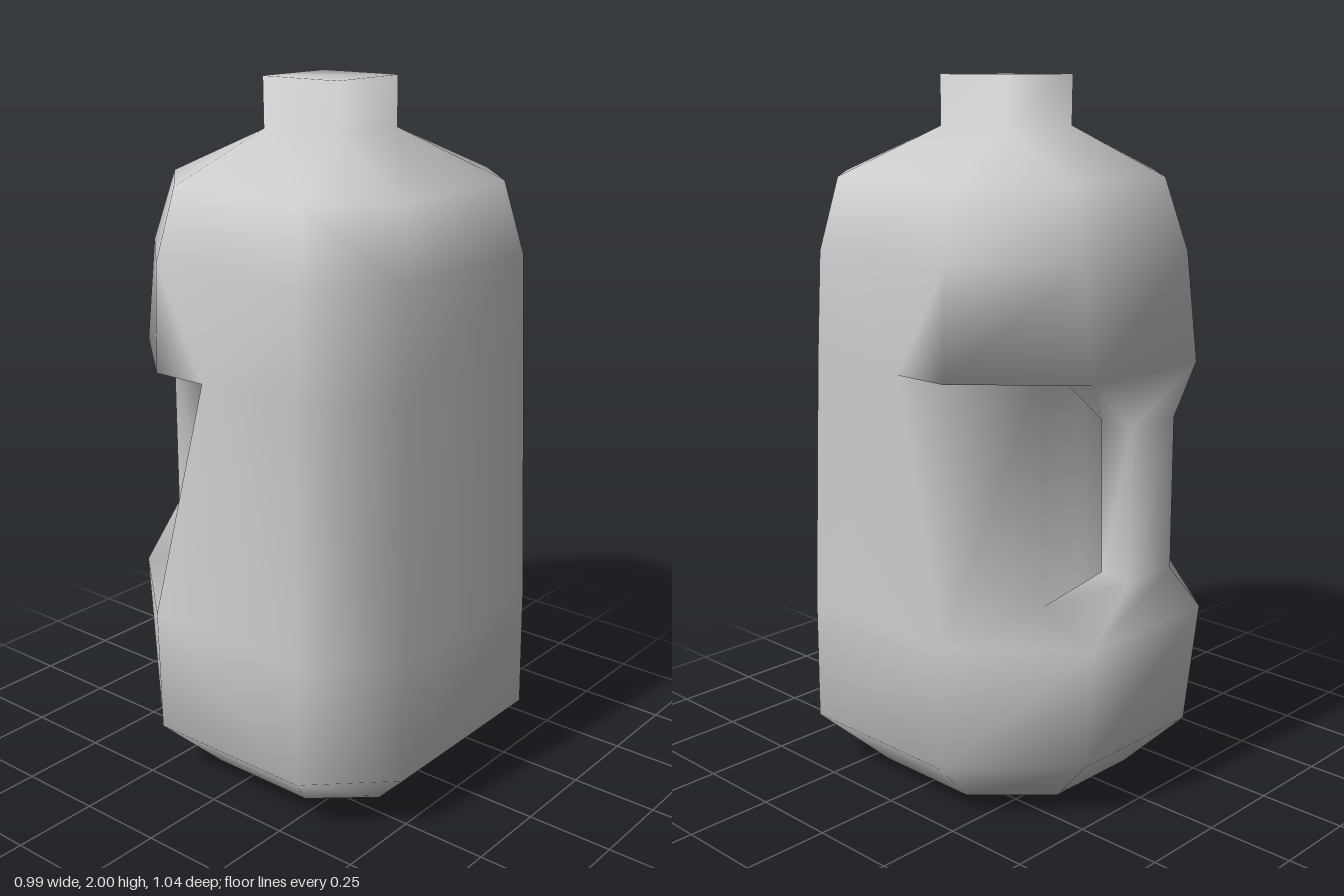
import * as THREE from 'three';
import { mergeVertices } from 'three/addons/utils/BufferGeometryUtils.js';

const plastic = new THREE.MeshStandardMaterial({ color: 0xcccccc });
plastic.name = 'pale grey plastic';

// Right half (+x) of an eight-sided cross-section, front to back
const ring = (y, halfWidth, front, back, frontX, sideFront, sideBack, backX) => [
  [frontX, y, front], [halfWidth, y, sideFront], [halfWidth, y, sideBack], [backX, y, back],
];
const mirror = ([x, y, z]) => [-x, y, z];

export function createModel() {
  const positions = [];

  // Adds a polygon as a fan, skipping collapsed triangles
  const face = (...p) => {
    for (let i = 1; i < p.length - 1; i++) {
      const tri = [p[0], p[i], p[i + 1]];
      if (new Set(tri.map(String)).size === 3) positions.push(...tri.flat());
    }
  };
  // Adds a polygon and its mirror image
  const pair = (first, ...rest) => {
    face(first, ...rest);
    face(mirror(first), ...rest.map(mirror).reverse());
  };
  const frontPanel = (lo, up) => face(mirror(lo[0]), lo[0], up[0], mirror(up[0]));
  const backPanel = (lo, up) => face(lo[3], mirror(lo[3]), mirror(up[3]), up[3]);
  const sidePanel = (lo, up, i) => pair(lo[i], lo[i + 1], up[i + 1], up[i]);

  const base = ring(0, 0.33, 0.36, -0.32, 0.19, 0.2, -0.13, 0.15);
  const heel = ring(0.165, 0.497, 0.52, -0.48, 0.295, 0.31, -0.2, 0.22);
  const lowLedge = ring(0.52, 0.495, 0.518, -0.518, 0.29, 0.31, -0.21, 0.23);
  const highLedge = ring(1.23, 0.473, 0.494, -0.49, 0.277, 0.297, -0.2, 0.22);
  const chest = ring(1.53, 0.46, 0.483, -0.45, 0.27, 0.29, -0.2, 0.22);
  const shoulder = ring(1.73, 0.415, 0.44, -0.39, 0.23, 0.26, -0.17, 0.19);
  const neck = ring(1.86, 0.13, 0.152, -0.105, 0.13, 0.152, -0.105, 0.13);
  const rim = ring(2, 0.13, 0.152, -0.107, 0.13, 0.152, -0.107, 0.13);

  // Full bands below and above the grip recess
  for (const [lo, up] of [[base, heel], [heel, lowLedge], [highLedge, chest],
    [chest, shoulder], [shoulder, neck], [neck, rim]]) {
    frontPanel(lo, up);
    backPanel(lo, up);
    for (let i = 0; i < 3; i++) {
      if (!(lo === highLedge && i === 1)) sidePanel(lo, up, i);
    }
  }
  face(...rim, ...rim.map(mirror).reverse());
  face(...[...base, ...base.map(mirror).reverse()].reverse());

  // Middle band, open at the back
  const notch = [0.473, 1.23, -0.03];
  const wallLow = [0.08, 0.52, -0.2], wallHigh = [0.08, 1.23, -0.2];
  frontPanel(lowLedge, highLedge);
  sidePanel(lowLedge, highLedge, 0);
  pair(lowLedge[1], lowLedge[2], notch, highLedge[1]);
  pair(notch, chest[2], chest[1], highLedge[1]);
  pair(notch, highLedge[2], chest[2]);

  // Recess wall and its two ledges
  pair(lowLedge[2], wallLow, wallHigh, notch);
  face(wallLow, mirror(wallLow), mirror(wallHigh), wallHigh);
  pair(lowLedge[2], lowLedge[3], wallLow);
  pair(wallHigh, highLedge[3], highLedge[2], notch);

  // Handle, flaring into the ledges: [outer corner, inner corner] at each level
  const grip = [
    [lowLedge[3], wallLow],
    [[0.09, 0.67, -0.516], [0.065, 0.67, -0.4]],
    [[0.09, 1.1, -0.516], [0.065, 1.1, -0.39]],
    [highLedge[3], wallHigh],
  ];
  for (let i = 0; i < 3; i++) {
    const [lo, li] = grip[i], [uo, ui] = grip[i + 1];
    face(lo, mirror(lo), mirror(uo), uo);
    face(mirror(li), li, ui, mirror(ui));
    pair(li, lo, uo, ui);
  }

  // Shared corners give one smooth moulded skin
  let geometry = new THREE.BufferGeometry();
  geometry.setAttribute('position', new THREE.Float32BufferAttribute(positions, 3));
  geometry = mergeVertices(geometry, 1e-4);
  geometry.computeVertexNormals();

  const jug = new THREE.Mesh(geometry, plastic);
  jug.name = 'jugWithHandle';
  const group = new THREE.Group();
  group.name = 'jug';
  group.add(jug);
  return group;
}
